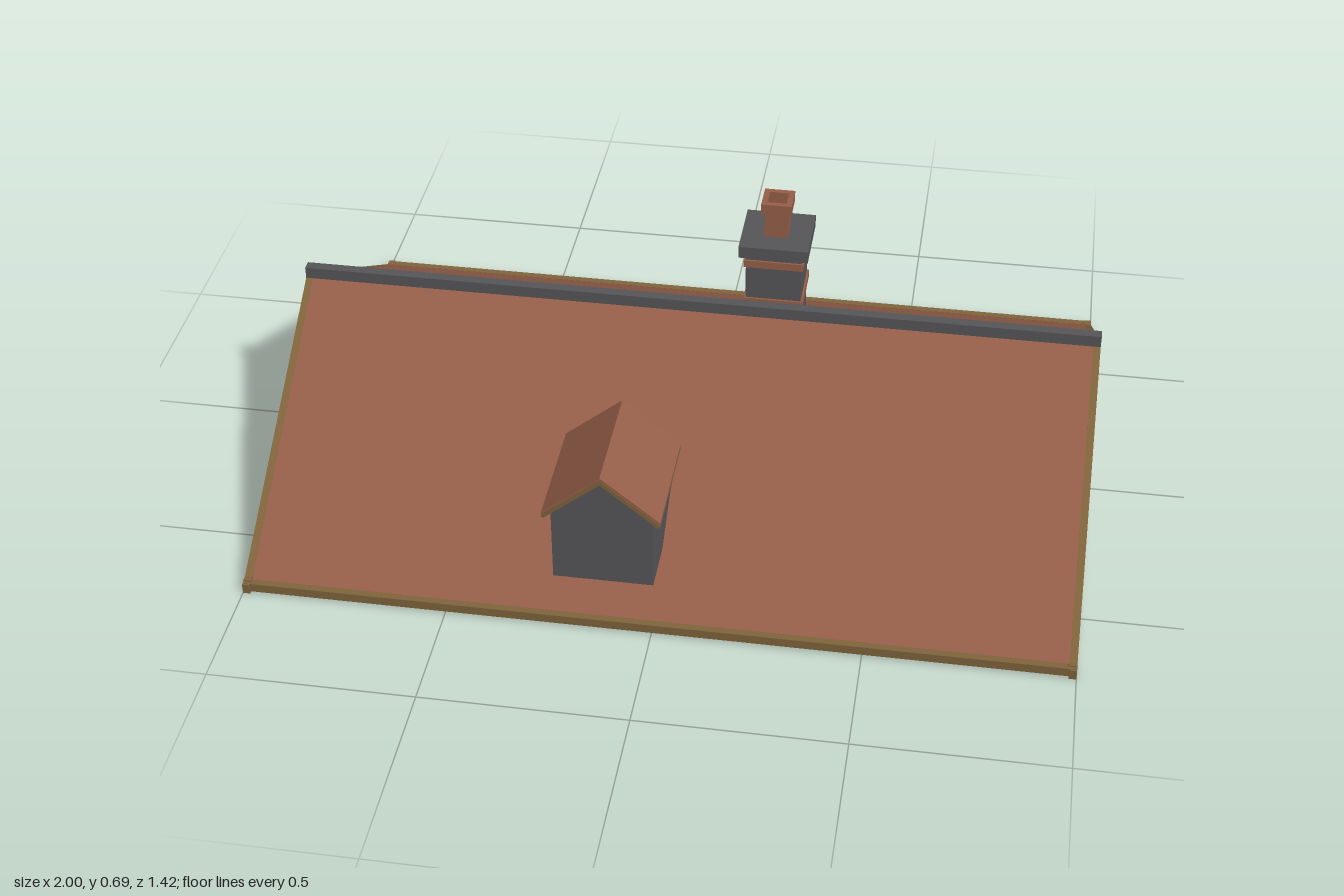
import * as THREE from 'three';

const mat = (name, color, side = THREE.FrontSide) => {
  const m = new THREE.MeshStandardMaterial({ color, side });
  m.name = name;
  return m;
};

export function createModel() {
  const tile = mat('clay tile', 0x965f49);
  const slate = mat('dark slate', 0x565659);
  const wood = mat('timber', 0x80643c);
  const slateSheet = slate; // walls are thin solids, so one slate serves all

  const model = new THREE.Group();
  model.name = 'roof';

  const add = (parent, name, geometry, material) => {
    const mesh = new THREE.Mesh(geometry, material);
    mesh.name = name;
    parent.add(mesh);
    return mesh;
  };
  // Box given by its minimum and maximum on each axis
  const box = (parent, name, material, [x0, x1], [y0, y1], [z0, z1]) => {
    const mesh = add(parent, name, new THREE.BoxGeometry(x1 - x0, y1 - y0, z1 - z0), material);
    mesh.position.set((x0 + x1) / 2, (y0 + y1) / 2, (z0 + z1) / 2);
    return mesh;
  };
  // Outline in (x, y) extruded along z from z0 to z1
  const prism = (points, z0, z1, hole) => {
    const shape = new THREE.Shape(points.map(p => new THREE.Vector2(...p)));
    if (hole) shape.holes.push(new THREE.Path(hole.map(p => new THREE.Vector2(...p))));
    const g = new THREE.ExtrudeGeometry(shape, { depth: z1 - z0, bevelEnabled: false });
    return g.translate(0, 0, z0);
  };
  // Outline in (z, y) extruded along x from x0 to x1
  const prismX = (points, x0, x1) =>
    prism(points.map(([z, y]) => [-z, y]), x0, x1).rotateY(Math.PI / 2);
  // Square tube standing on y0
  const tube = (half, hole, y0, y1) => {
    const sq = h => [[-h, -h], [h, -h], [h, h], [-h, h]];
    return prism(sq(half), y0, y1, sq(hole)).rotateX(-Math.PI / 2);
  };

  // Main roof slopes, eave beams and rafters
  for (const s of [1, -1]) {
    const side = s > 0 ? 'front' : 'back';
    add(model, side + 'Slope', prismX(
      [[0, 0.452], [s * 0.7, 0.014], [s * 0.7, 0.02], [0, 0.46]], -0.999, 0.999), tile);
    box(model, side + 'EaveBeam', wood, [-1, 1], [0.004, 0.027],
      s > 0 ? [0.69, 0.708] : [-0.708, -0.69]);
    for (const e of [1, -1]) {
      const xs = e > 0 ? [0.982, 1] : [-1, -0.982];
      add(model, side + 'Rafter', prismX(
        [[0, 0.436], [s * 0.68, 0.01], [s * 0.705, 0.01], [s * 0.705, 0.018], [0, 0.46]], ...xs), wood);
      box(model, 'rafterFoot', wood, xs, [0, 0.026], s > 0 ? [0.695, 0.712] : [-0.712, -0.695]);
    }
  }
  box(model, 'ridgeCap', slate, [-1, 1], [0.452, 0.482], [-0.013, 0.013]);

  // Gable ends with tie beam and king post
  for (const e of [1, -1]) {
    const span = (a, b) => (e > 0 ? [a, b] : [-b, -a]);
    add(model, 'gableWall', prismX([[-0.685, 0.016], [0.685, 0.016], [0, 0.45]], ...span(0.985, 0.993)), slateSheet);
    box(model, 'tieBeam', wood, span(0.98, 1), [0.01, 0.03], [-0.7, 0.7]);
    box(model, 'kingPost', wood, span(0.98, 1), [0.02, 0.445], [-0.008, 0.008]);
  }

  // Chimney
  const chimney = new THREE.Group();
  chimney.name = 'chimney';
  chimney.position.set(0.18, 0, -0.17);
  model.add(chimney);
  const block = (name, material, half, y0, y1) =>
    box(chimney, name, material, [-half, half], [y0, y1], [-half, half]);
  block('chimneyStack', slate, 0.07, 0.31, 0.565);
  block('lowerBand', tile, 0.075, 0.41, 0.432);
  block('upperBand', tile, 0.075, 0.525, 0.545);
  block('chimneyCap', slate, 0.087, 0.56, 0.592);
  add(chimney, 'chimneyPot', tube(0.03, 0.024, 0.59, 0.665), tile);
  add(chimney, 'potRim', tube(0.038, 0.024, 0.662, 0.69), tile);

  // Dormer: thin walls open underneath
  const dormer = new THREE.Group();
  dormer.name = 'dormer';
  dormer.position.x = -0.12;
  model.add(dormer);
  const pentagon = [[-0.12, 0.12], [0.12, 0.12], [0.12, 0.312], [0, 0.418], [-0.12, 0.312]];
  add(dormer, 'dormerFront', prism(pentagon, 0.66, 0.67), slate);
  add(dormer, 'dormerBack', prism(pentagon, 0.41, 0.416), slate);
  for (const s of [1, -1]) {
    box(dormer, 'dormerSide', slate, s > 0 ? [0.112, 0.12] : [-0.12, -0.112], [0.12, 0.312], [0.41, 0.662]);
    // Roof half: tile skin over a timber board
    add(dormer, 'dormerTiles', prism(
      [[0, 0.428], [s * 0.14, 0.312], [s * 0.14, 0.32], [0, 0.436]].slice()
      , 0.38, 0.68), tile);
    add(dormer, 'dormerBoard', prism(
      [[0, 0.416], [s * 0.136, 0.303], [s * 0.14, 0.306], [s * 0.14, 0.313], [0, 0.429]], 0.379, 0.681), wood);
    box(dormer, 'dormerPost', wood, s > 0 ? [0.105, 0.121] : [-0.121, -0.105], [0.19, 0.31], [0.394, 0.411]);
    box(dormer, 'dormerStud', wood, s > 0 ? [0.03, 0.042] : [-0.042, -0.03], [0.19, 0.31], [0.398, 0.411]);
  }
  box(dormer, 'dormerTopRail', wood, [-0.12, 0.12], [0.296, 0.312], [0.396, 0.411]);
  box(dormer, 'dormerSill', wood, [-0.12, 0.12], [0.19, 0.206], [0.396, 0.411]);

  return model;
}
